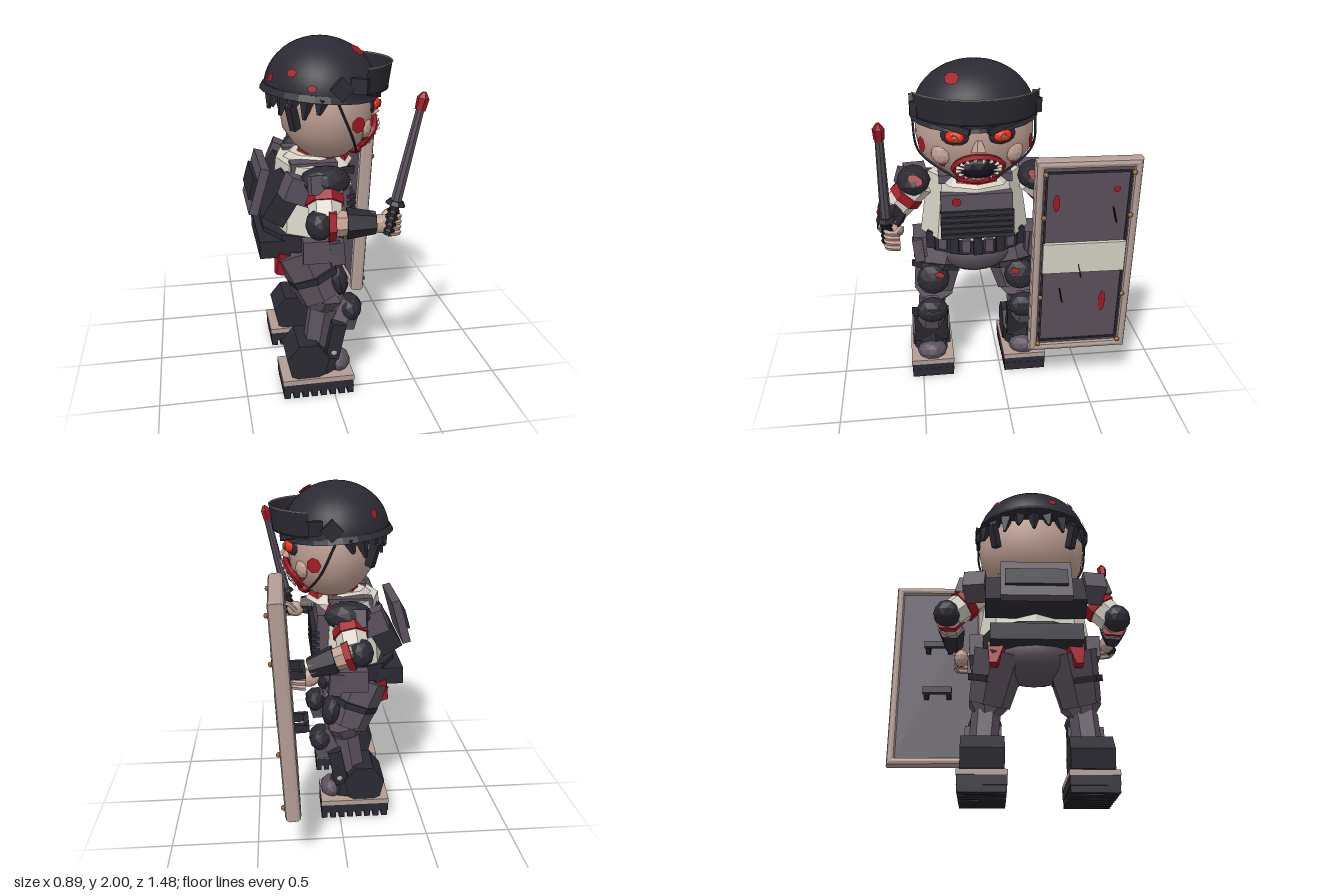
import * as THREE from 'three';

const paint = (color, flat = true, opts = {}) => {
  const m = new THREE.MeshStandardMaterial({ color, ...opts });
  m.flatShading = flat;
  return m;
};
const DARK = paint(0x2b2a33), GREY = paint(0x5a505c), SKIN = paint(0xbf9f93), RED = paint(0xa01824);
const CREAM = paint(0xd6d2c6), PALE = paint(0xb39d96), EYE = paint(0xff2a18), BRASS = paint(0xa8703f), BLACK = paint(0x15131a);
const HELMET = paint(0x2b2a33, false), FACE = paint(0xbf9f93, false), CLOTH = paint(0x5a505c, false);
const VISOR = paint(0x2b2a33, false, { side: THREE.DoubleSide });
const STAIN = paint(0xa01824, true, { side: THREE.DoubleSide });

const V = (x, y, z) => new THREE.Vector3(x, y, z);
const UP = V(0, 1, 0);

function add(parent, name, geo, mat, pos = [0, 0, 0], rot = [0, 0, 0], scale = [1, 1, 1]) {
  const m = new THREE.Mesh(geo, mat);
  m.name = name;
  m.position.set(...pos);
  m.rotation.set(...rot);
  m.scale.set(...scale);
  parent.add(m);
  return m;
}
const box = (p, name, mat, pos, size, rot) => add(p, name, new THREE.BoxGeometry(...size), mat, pos, rot);
const blob = (p, name, mat, pos, size, rot) => add(p, name, new THREE.IcosahedronGeometry(1, 1), mat, pos, rot, size);
// Tapered faceted limb running from a to b
function limb(p, name, mat, a, b, ra, rb, sides = 7) {
  const A = V(...a), B = V(...b), d = B.clone().sub(A);
  const m = add(p, name, new THREE.CylinderGeometry(rb, ra, d.length(), sides), mat);
  m.position.copy(A).addScaledVector(d, 0.5);
  m.quaternion.setFromUnitVectors(UP, d.normalize());
}
const tube = (p, name, mat, pts, r, closed = false) => add(p, name,
  new THREE.TubeGeometry(new THREE.CatmullRomCurve3(pts.map(q => V(...q)), closed), 28, r, 5, closed), mat);
// Ragged flat stain facing along n
function stain(p, pos, n, w, h) {
  const m = add(p, 'bloodStain', new THREE.CircleGeometry(1, 7), STAIN, pos, [0, 0, 0], [w, h, 1]);
  m.quaternion.setFromUnitVectors(V(0, 0, 1), V(...n).normalize());
}

// Head outline: radius by height; the head is narrower along x
const PROFILE = [[0.02, 1.33], [0.17, 1.36], [0.25, 1.42], [0.315, 1.5], [0.335, 1.6], [0.335, 1.72], [0.28, 1.82], [0, 1.86]];
function face(y, w, out = 0) {
  let i = 1;
  while (i < PROFILE.length - 1 && PROFILE[i][1] < y) i++;
  const [r0, y0] = PROFILE[i - 1], [r1, y1] = PROFILE[i];
  const r = r0 + (r1 - r0) * (y - y0) / (y1 - y0);
  return [0.02 + 0.78 * Math.sqrt(Math.max(0, r * r - w * w)) + out, y, w];
}

function buildHead(body) {
  const head = new THREE.Group();
  head.name = 'head';
  body.add(head);
  add(head, 'skull', new THREE.LatheGeometry(PROFILE.map(p => new THREE.Vector2(...p)), 28), FACE, [0.02, 0, 0], [0, 0, 0], [0.78, 1, 1]);
  // Helmet, brim and visor
  add(head, 'helmet', new THREE.SphereGeometry(1, 32, 12, 0, Math.PI * 2, 0, Math.PI / 2), HELMET, [-0.01, 1.715, 0], [0, 0, -0.07], [0.315, 0.285, 0.345]);
  add(head, 'helmetBrim', new THREE.CylinderGeometry(0.345, 0.365, 0.035, 24), DARK, [-0.02, 1.715, 0], [0, 0, -0.08], [0.9, 1, 1]);
  const arc = 1.1;
  add(head, 'visor', new THREE.CylinderGeometry(0.385, 0.365, 0.14, 20, 1, true, Math.PI / 2 - arc, arc * 2), VISOR, [0, 1.8, 0]);
  for (const [y, r] of [[1.73, 0.365], [1.87, 0.385]]) {
    const pts = [];
    for (let i = -6; i <= 6; i++) pts.push([r * Math.cos(i * arc / 6), y, r * Math.sin(i * arc / 6)]);
    tube(head, 'visorEdge', y > 1.8 ? PALE : DARK, pts, 0.004);
  }
  for (const [a, e, s] of [[0.6, 0.85, 0.05], [0.3, 0.35, 0.025], [2.3, 0.45, 0.03], [-2.3, 0.45, 0.03], [2.8, 0.3, 0.03], [1.9, 0.2, 0.025]]) {
    const n = [Math.cos(a) * Math.cos(e), Math.sin(e), Math.sin(a) * Math.cos(e)];
    stain(head, [-0.01 + 0.322 * n[0], 1.715 + 0.295 * n[1], 0.352 * n[2]], n, s, s * 0.8);
  }
  // Hair tufts below the back of the brim
  for (let i = -5; i <= 5; i++) {
    const a = Math.PI + i * 0.27, c = Math.cos(a), s = Math.sin(a);
    limb(head, 'hairTuft', DARK, [0.28 * c, 1.71, 0.33 * s], [0.28 * c - 0.02, 1.61 + 0.03 * (i & 1), 0.35 * s], 0.04, 0.01, 4);
  }
  // Nose
  limb(head, 'nose', SKIN, face(1.62, 0, -0.01), face(1.56, 0, 0.015), 0.02, 0.045, 5);
  // Mouth with lips and teeth
  blob(head, 'mouth', BLACK, face(1.46, 0, 0), [0.05, 0.065, 0.12]);
  const ring = (a, k, out) => face(1.46 + 0.07 * k * Math.sin(a), 0.125 * k * Math.cos(a), out);
  const lips = [];
  for (let i = 0; i < 14; i++) lips.push(ring(i * Math.PI / 7, 1.08, 0.025));
  tube(head, 'lips', RED, lips, 0.019, true);
  for (let i = 0; i < 16; i++) {
    const a = (i + 0.5) * Math.PI / 8;
    limb(head, 'tooth', CREAM, ring(a, 1, 0.045), ring(a, i % 4 ? 0.78 : 0.65, 0.052), 0.015, 0.006, 4);
  }
  blob(head, 'bloodyChin', RED, face(1.375, 0, 0.01), [0.05, 0.035, 0.12]);
  for (const s of [-1, 1]) {
    // Eyes, brows, cheeks and straps
    const yaw = -s * 0.4;
    blob(head, 'eyeSocket', DARK, face(1.645, s * 0.13, -0.008), [0.025, 0.055, 0.085], [0, yaw, 0]);
    blob(head, 'eye', EYE, face(1.645, s * 0.13, 0.01), [0.03, 0.036, 0.055], [0, yaw, 0]);
    add(head, 'iris', new THREE.TorusGeometry(0.018, 0.005, 5, 10), BRASS, face(1.645, s * 0.13, 0.038), [0, Math.PI / 2 + yaw, 0]);
    blob(head, 'pupil', CREAM, face(1.65, s * 0.13, 0.04), [0.007, 0.009, 0.007]);
    box(head, 'brow', DARK, face(1.7, s * 0.13, 0.01), [0.04, 0.035, 0.18], [-s * 0.28, yaw, 0]);
    blob(head, 'cheek', SKIN, face(1.53, s * 0.2, -0.015), [0.035, 0.06, 0.06], [0, yaw, 0]);
    stain(head, face(1.48, s * 0.2, 0.012), [1, -0.3, s], 0.03, 0.025);
    stain(head, [0.14, 1.57, s * 0.305], [0.45, 0, s], 0.045, 0.045);
    box(head, 'helmetFlap', DARK, [-0.2, 1.61, s * 0.24], [0.05, 0.14, 0.04], [0, s * 0.7, 0.3]);
    box(head, 'helmetBuckle', DARK, [0.04, 1.77, s * 0.345], [0.09, 0.09, 0.035], [0, 0, 0.8]);
    box(head, 'visorHinge', DARK, [0.14, 1.78, s * 0.32], [0.09, 0.08, 0.04], [0, -s * 0.5, 0]);
    tube(head, 'chinStrap', DARK, [[0.02, 1.7, s * 0.35], [0.1, 1.52, s * 0.32], [0.18, 1.36, s * 0.1]], 0.007);
  }
}

function buildTorso(body) {
  const t = new THREE.Group();
  t.name = 'torso';
  body.add(t);
  add(t, 'shirt', new THREE.CylinderGeometry(0.24, 0.29, 0.38, 8), CREAM, [-0.09, 1.14, 0], [0, 0, 0], [0.74, 1, 1.14]);
  add(t, 'collar', new THREE.CylinderGeometry(0.15, 0.22, 0.06, 8), CREAM, [-0.04, 1.33, 0]);
  add(t, 'neck', new THREE.CylinderGeometry(0.13, 0.16, 0.08, 8), RED, [0, 1.36, 0]);
  // Armoured vest with ribbed front
  box(t, 'vestFront', GREY, [0.075, 1.11, 0], [0.1, 0.27, 0.42], [0, 0, 0.06]);
  for (let i = 0; i < 5; i++) box(t, 'vestRib', DARK, [0.13, 0.995 + i * 0.036, 0], [0.05, 0.025, 0.43], [0, 0, 0.15]);
  stain(t, [0.135, 1.21, 0.12], [1, 0, 0], 0.03, 0.025);
  // Back pack, back plate and plain label
  box(t, 'backPack', DARK, [-0.26, 1.15, 0], [0.13, 0.25, 0.58], [0, 0, -0.55]);
  box(t, 'backPlate', GREY, [-0.385, 1.19, 0], [0.05, 0.27, 0.41], [0, 0, -0.28]);
  box(t, 'backLabel', DARK, [-0.417, 1.2, 0], [0.02, 0.12, 0.36], [0, 0, -0.28]);
  // Pelvis, belt and pouches
  add(t, 'pelvis', new THREE.SphereGeometry(1, 14, 10), CLOTH, [-0.12, 0.81, 0], [0, 0, 0], [0.2, 0.15, 0.25]);
  add(t, 'belt', new THREE.CylinderGeometry(0.3, 0.3, 0.1, 10), DARK, [-0.13, 0.9, 0], [0, 0, 0], [0.8, 1, 1.03]);
  box(t, 'rearPouch', DARK, [-0.31, 0.87, 0], [0.17, 0.1, 0.52]);
  for (let i = -4; i <= 4; i++)
    box(t, 'beltPouch', i & 1 ? GREY : DARK, [0.11 - 0.008 * i * i, 0.92, i * 0.066], [0.06, i & 1 ? 0.08 : 0.11, 0.05], [0, -i * 0.1, 0]);
  for (const s of [-1, 1]) {
    box(t, 'shoulderStrap', GREY, [-0.08, 1.32, s * 0.17], [0.26, 0.05, 0.09]);
    box(t, 'sidePouch', GREY, [-0.07, 0.885, s * 0.34], [0.2, 0.13, 0.08]);
    box(t, 'holster', GREY, [0.02, 0.87, s * 0.35], [0.08, 0.14, 0.06], [s * 0.1, 0, 0.1]);
    limb(t, 'tornCloth', RED, [-0.25, 0.83, s * 0.22], [-0.29, 0.71, s * 0.24], 0.07, 0.03, 4);
  }
}

function buildLeg(body, s) {
  const leg = new THREE.Group();
  leg.name = s > 0 ? 'rightLeg' : 'leftLeg';
  body.add(leg);
  const w = s * 0.295;
  // Thigh with strap and pad
  limb(leg, 'thigh', GREY, [-0.05, 0.56, s * 0.265], [-0.16, 0.84, s * 0.2], 0.125, 0.165, 7);
  limb(leg, 'thighEnd', GREY, [-0.07, 0.47, s * 0.275], [-0.05, 0.56, s * 0.265], 0.06, 0.125, 7);
  limb(leg, 'thighStrap', DARK, [-0.085, 0.68, s * 0.245], [-0.098, 0.715, s * 0.24], 0.155, 0.158, 7);
  blob(leg, 'thighPad', DARK, [0.04, 0.67, s * 0.27], [0.06, 0.1, 0.1], [0, 0, 0.2]);
  stain(leg, [0.095, 0.72, s * 0.23], [1, 0.3, 0], 0.03, 0.02);
  // Lower leg with armour
  limb(leg, 'shin', GREY, [-0.09, 0.26, w], [-0.05, 0.5, s * 0.28], 0.08, 0.085, 6);
  limb(leg, 'kneePad', GREY, [0.06, 0.39, w], [0.12, 0.54, s * 0.285], 0.085, 0.07, 6);
  blob(leg, 'kneePlate', DARK, [0.11, 0.49, s * 0.285], [0.07, 0.08, 0.1]);
  box(leg, 'shinGuard', DARK, [0.01, 0.33, w], [0.08, 0.22, 0.21], [0, 0, -0.2]);
  // Boot, sole and tread
  limb(leg, 'bootHeel', DARK, [-0.15, 0.215, w - 0.12], [-0.15, 0.215, w + 0.12], 0.125, 0.125, 7);
  limb(leg, 'bootAnkle', DARK, [-0.04, 0.13, w], [-0.06, 0.27, w], 0.11, 0.1, 7);
  blob(leg, 'bootToe', GREY, [0.04, 0.155, w], [0.075, 0.065, 0.095]);
  for (const side of [-1, 1]) blob(leg, 'bootStud', PALE, [0, 0.26, w + side * 0.1], [0.02, 0.02, 0.015]);
  box(leg, 'sole', PALE, [-0.093, 0.105, w], [0.415, 0.03, 0.27]);
  box(leg, 'outsole', DARK, [-0.093, 0.065, w], [0.41, 0.055, 0.265]);
  for (let i = 0; i < 8; i++) box(leg, 'tread', DARK, [-0.275 + i * 0.053, 0.027, w], [0.035, 0.054, 0.26]);
}

function buildArm(body, s, elbow, wrist, hand) {
  const arm = new THREE.Group();
  arm.name = s > 0 ? 'rightArm' : 'leftArm';
  body.add(arm);
  const shoulder = [-0.05, 1.28, s * 0.33];
  const mix = (a, b, t) => a.map((v, i) => v + (b[i] - v) * t);
  // Shoulder armour
  blob(arm, 'shoulderPad', DARK, [-0.05, 1.29, s * 0.36], [0.14, 0.085, 0.1]);
  box(arm, 'shoulderPatch', GREY, [-0.06, 1.29, s * 0.42], [0.18, 0.1, 0.05], [s * -0.3, s * 0.25, 0]);
  box(arm, 'rearShoulderPad', GREY, [-0.2, 1.25, s * 0.35], [0.14, 0.13, 0.13], [0, s * 0.15, -0.4]);
  stain(arm, [0.065, 1.33, s * 0.35], [1, 0.6, 0], 0.05, 0.03);
  // Arm with torn sleeve
  limb(arm, 'sleeveTear', RED, mix(shoulder, elbow, 0.35), mix(shoulder, elbow, 0.58), 0.1, 0.105);
  limb(arm, 'upperArm', CREAM, shoulder, mix(shoulder, elbow, 0.95), 0.095, 0.09);
  blob(arm, 'elbowPad', DARK, [elbow[0] - 0.035, elbow[1], elbow[2] + s * 0.01], [0.075, 0.085, 0.085]);
  limb(arm, 'bloodyBand', RED, mix(elbow, wrist, 0.05), mix(elbow, wrist, 0.2), 0.1, 0.09, 6);
  limb(arm, 'forearm', SKIN, elbow, wrist, 0.075, 0.055);
  limb(arm, 'cuff', DARK, mix(elbow, wrist, 0.42), wrist, 0.085, 0.06, 6);
  // Hand with curled fingers
  blob(arm, 'palm', SKIN, hand, [0.06, 0.055, 0.045]);
  for (let i = 0; i < 4; i++) {
    const y = hand[1] + 0.045 - i * 0.03;
    tube(arm, 'finger', SKIN, [[hand[0] + 0.02, y, hand[2] + s * 0.04], [hand[0] + 0.085, y, hand[2] + s * 0.025], [hand[0] + 0.08, y - 0.01, hand[2] - s * 0.04]], 0.016);
  }
  tube(arm, 'thumb', SKIN, [[hand[0], hand[1], hand[2] - s * 0.04], [hand[0] + 0.05, hand[1] + 0.05, hand[2] - s * 0.05], [hand[0] + 0.09, hand[1] + 0.04, hand[2] - s * 0.02]], 0.017);
}

function buildBaton(body) {
  const at = t => [0.255 + 0.165 * t, 1.03 + 0.75 * t, 0.52];
  limb(body, 'batonGrip', DARK, at(0), at(0.24), 0.026, 0.026, 8);
  for (let i = 0; i < 5; i++) limb(body, 'gripRing', BLACK, at(0.03 + i * 0.045), at(0.05 + i * 0.045), 0.036, 0.03, 8);
  limb(body, 'batonGuard', DARK, at(0.22), at(0.25), 0.055, 0.04, 8);
  limb(body, 'batonShaft', GREY, at(0.24), at(0.9), 0.03, 0.022, 8);
  limb(body, 'bloodyTip', RED, at(0.88), at(0.96), 0.028, 0.032, 6);
  limb(body, 'bloodyPoint', RED, at(0.96), at(1), 0.032, 0.01, 6);
}

function buildShield(root) {
  const g = new THREE.Group();
  g.name = 'shield';
  g.position.set(0.325, 0.907, -0.447);
  g.rotation.set(-0.01, 0, -0.05);
  root.add(g);
  const rect = (P, w, h) => new P([[-w, -h], [w, -h], [w, h], [-w, h]].map(p => new THREE.Vector2(...p)));
  const outline = rect(THREE.Shape, 0.275, 0.6);
  outline.holes.push(rect(THREE.Path, 0.27, 0.595));
  const frame = new THREE.ExtrudeGeometry(outline, { depth: 0.045, bevelSize: 0.022, bevelThickness: 0.022, bevelSegments: 2 });
  frame.translate(0, 0, -0.0225).rotateY(Math.PI / 2);
  add(g, 'shieldFrame', frame, PALE);
  box(g, 'shieldPanel', GREY, [0.002, 0, 0], [0.045, 1.18, 0.53]);
  box(g, 'plainLabel', CREAM, [0.035, 0.025, 0], [0.025, 0.19, 0.48]);
  for (const s of [-1, 1]) {
    box(g, 'panelSeam', DARK, [0.027, 0, s * 0.235], [0.01, 1.1, 0.012]);
    box(g, 'panelSeam', DARK, [0.027, s * 0.55, 0], [0.01, 0.012, 0.47]);
    for (const y of [0.55, 0.29, -0.23, -0.56]) blob(g, 'rivet', BRASS, [0.05, y, s * 0.245], [0.015, 0.015, 0.015]);
  }
  for (const [y, z, a] of [[0.29, -0.16, 0.25], [-0.23, 0.12, 0.2], [-0.06, 0.02, 0.25]])
    box(g, 'scratch', BLACK, [0.035, y, z], [0.03, 0.09, 0.006], [a, 0, 0]);
  for (const [y, z, w, h] of [[0.37, 0.175, 0.02, 0.055], [0.445, -0.16, 0.022, 0.02], [-0.285, -0.13, 0.022, 0.075]])
    stain(g, [0.032, y, z], [1, 0, 0], w, h);
  // Rear handles
  for (const y of [0.15, -0.17]) {
    for (const z of [-0.07, 0.07]) box(g, 'handleMount', DARK, [-0.06, y, z], [0.1, 0.05, 0.03]);
    box(g, 'handleBar', DARK, [-0.11, y, 0], [0.03, 0.04, 0.18]);
  }
}

export function createModel() {
  const root = new THREE.Group();
  root.name = 'armouredGuard';
  const body = new THREE.Group();
  body.name = 'body';
  body.position.z = 0.14;
  root.add(body);
  buildHead(body);
  buildTorso(body);
  for (const s of [-1, 1]) buildLeg(body, s);
  buildArm(body, 1, [-0.07, 1.1, 0.49], [0.19, 1.1, 0.52], [0.23, 1.08, 0.49]);
  buildArm(body, -1, [-0.07, 1.12, -0.51], [0.18, 1.03, -0.49], [0.18, 0.95, -0.44]);
  buildBaton(body);
  buildShield(root);
  return root;
}
